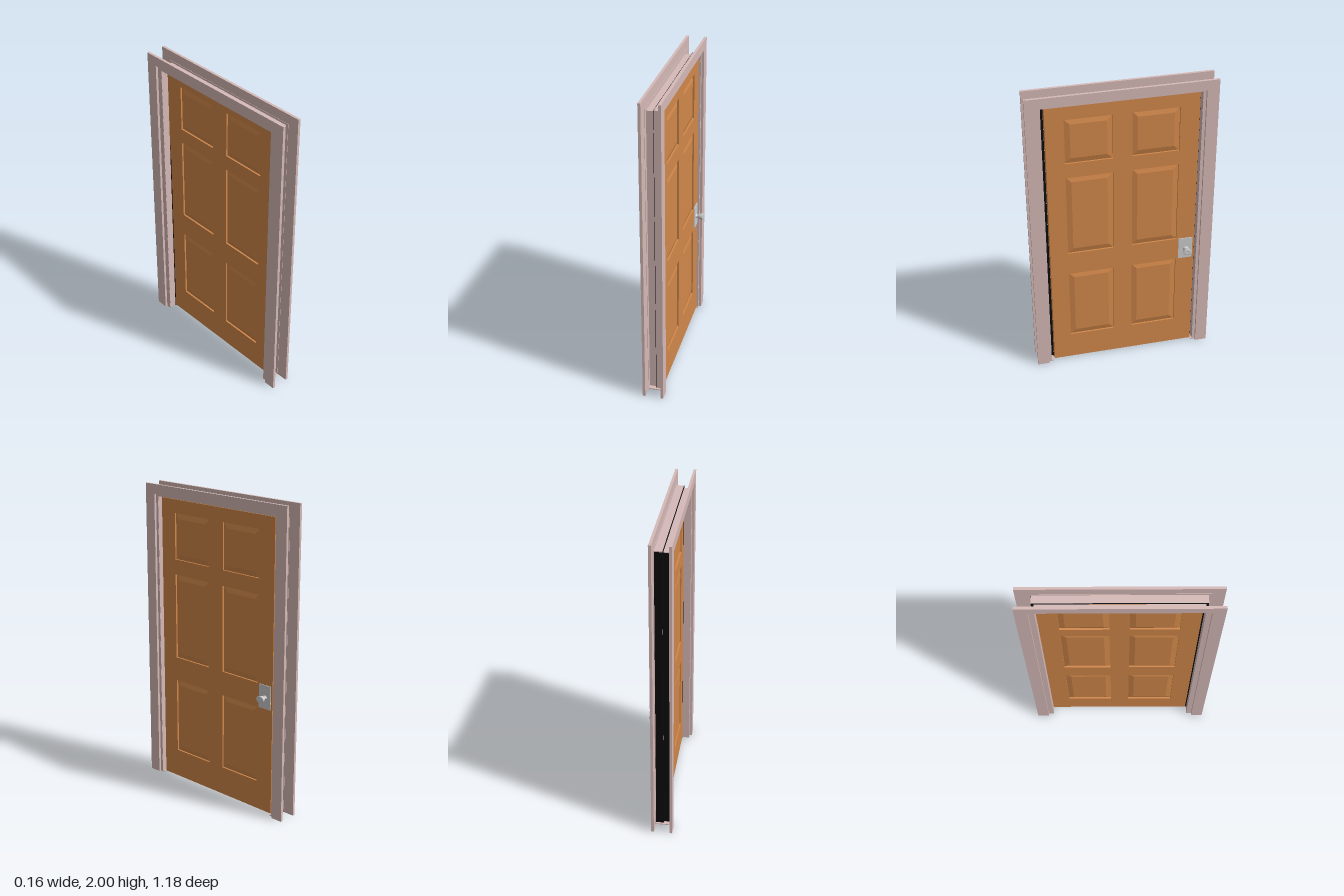
import * as THREE from 'three';

const mat = (color) => new THREE.MeshStandardMaterial({ color });

// Extrudes a profile drawn in (-z, y) across the thickness from x0 to x1.
function slab(shape, x0, x1) {
  const g = new THREE.ExtrudeGeometry(shape, { depth: x1 - x0, bevelEnabled: false });
  g.translate(0, 0, x0);
  return g.rotateY(Math.PI / 2);
}

function rectPoints(u0, u1, y0, y1) {
  return [[u0, y0], [u1, y0], [u1, y1], [u0, y1]].map(([u, y]) => new THREE.Vector2(u, y));
}

// Upside-down U: two legs and a header, open at the floor.
function portal(outerW, outerH, innerW, innerH, x0, x1) {
  const s = new THREE.Shape([
    [-outerW, 0], [-innerW, 0], [-innerW, innerH], [innerW, innerH],
    [innerW, 0], [outerW, 0], [outerW, outerH], [-outerW, outerH],
  ].map(([u, y]) => new THREE.Vector2(u, y)));
  return slab(s, x0, x1);
}

export function createModel() {
  const root = new THREE.Group();
  root.name = 'framedDoor';
  const pink = mat(0xd6bab7), wood = mat(0xd2884a), black = mat(0x0c0c0c), metal = mat(0xcccccc);

  const add = (name, geometry, material, parent = root) => {
    const m = new THREE.Mesh(geometry, material);
    m.name = name;
    parent.add(m);
    return m;
  };
  const box = (name, material, x0, x1, y0, y1, z0, z1, parent) => {
    const g = new THREE.BoxGeometry(x1 - x0, y1 - y0, z1 - z0);
    g.translate((x0 + x1) / 2, (y0 + y1) / 2, (z0 + z1) / 2);
    return add(name, g, material, parent);
  };

  // Frame: casings on both faces, stepped jamb between them
  const frame = new THREE.Group();
  frame.name = 'frame';
  root.add(frame);
  add('frontCasing', portal(0.59, 2, 0.513, 1.937, 0.035, 0.052), pink, frame);
  add('backCasing', portal(0.59, 2, 0.513, 1.937, -0.082, -0.065), pink, frame);
  add('rabbetJamb', portal(0.497, 1.926, 0.494, 1.922, -0.015, 0.035), pink, frame);
  add('stopJamb', portal(0.482, 1.915, 0.479, 1.911, -0.065, -0.018), pink, frame);
  add('frontLip', portal(0.515, 1.938, 0.495, 1.923, 0.033, 0.036), pink, frame);
  add('backLip', portal(0.515, 1.938, 0.48, 1.912, -0.066, -0.063), pink, frame);

  // Dark seal in the step of the jamb, and dark lining behind the latch jamb
  add('seal', portal(0.496, 1.925, 0.472, 1.911, -0.018, -0.013), black, frame);
  box('latchLiningFront', black, -0.015, 0.033, 0.005, 1.92, -0.4985, -0.497, frame);
  box('latchLiningBack', black, -0.063, -0.018, 0.005, 1.91, -0.4835, -0.482, frame);

  // Floor plates tying the casings together
  for (const s of [-1, 1]) {
    const a = s * 0.48, b = s * 0.512;
    box('floorPlate', pink, -0.065, 0.035, 0, 0.006, Math.min(a, b), Math.max(a, b), frame);
  }

  // Door leaf: stiles and rails with six openings
  const leaf = new THREE.Group();
  leaf.name = 'doorLeaf';
  root.add(leaf);
  const xBack = -0.018, xFront = 0.025, xMid = (xBack + xFront) / 2;
  const columns = [[-0.355, -0.058], [0.062, 0.359]];
  const rows = [[0.2, 0.705], [0.865, 1.43], [1.53, 1.83]];
  const outline = new THREE.Shape(rectPoints(-0.471, 0.481, 0.01, 1.918));
  for (const [u0, u1] of columns) {
    for (const [y0, y1] of rows) {
      outline.holes.push(new THREE.Path(rectPoints(u0, u1, y0, y1)));

      // Raised panel, bevelled on both faces
      const b = 0.035, half = 0.019, rise = 0.009;
      const field = new THREE.Shape(rectPoints(u0 + b, u1 - b, y0 + b, y1 - b));
      const g = new THREE.ExtrudeGeometry(field, {
        depth: 2 * (half - rise), bevelEnabled: true, bevelSegments: 1,
        bevelSize: b, bevelThickness: rise,
      });
      g.translate(0, 0, xMid - (half - rise));
      add('raisedPanel', g.rotateY(Math.PI / 2), wood, leaf);
    }
  }
  add('stilesAndRails', slab(outline, xBack, xFront), wood, leaf);

  // Lock plate and flared oval knob on the front face
  const handle = new THREE.Group();
  handle.name = 'handle';
  root.add(handle);
  box('lockPlate', metal, xFront - 0.002, xFront + 0.005, 0.71, 0.865, -0.468, -0.374, handle);
  const profile = [[0.018, 0], [0.018, 0.004], [0.012, 0.008], [0.012, 0.016], [0.021, 0.022],
    [0.029, 0.048], [0.028, 0.051], [0.013, 0.052], [0.011, 0.05], [0, 0.05]];
  const knob = new THREE.LatheGeometry(profile.map(([r, h]) => new THREE.Vector2(r, h)), 24);
  knob.rotateZ(-Math.PI / 2);
  knob.scale(1, 0.77, 1);
  knob.translate(xFront + 0.004, 0.785, -0.424);
  add('knob', knob, metal, handle);

  return root;
}
